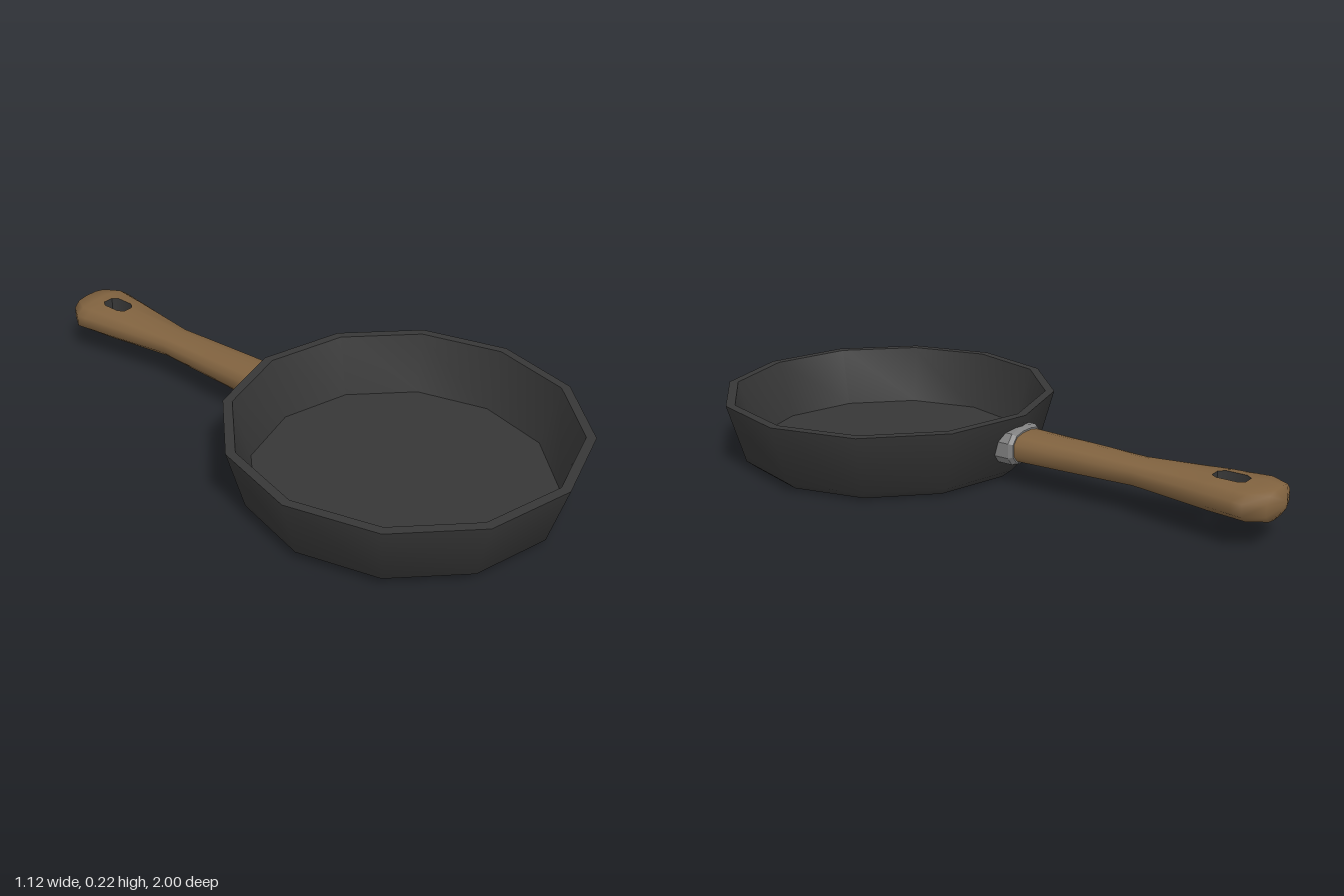
import * as THREE from 'three';
import { toCreasedNormals } from 'three/addons/utils/BufferGeometryUtils.js';

const MID_Y = 0.128; // height of the handle axis
const PAN_Z = 0.437; // centre of the pan body

const material = (name, color) => {
  const m = new THREE.MeshStandardMaterial({ color });
  m.name = name;
  return m;
};

// Rounded 12-point section of half width w and half height h; a is the half width of its flat crown.
function section(w, h, z, a = 0.3 * w) {
  const right = [[a, h], [0.75 * w, 0.85 * h], [w, 0.4 * h], [w, -0.4 * h], [0.75 * w, -0.85 * h], [a, -h]];
  const left = right.map(([x, y]) => [-x, y]).reverse();
  return [...right, ...left].map(([x, y]) =>
    new THREE.Vector3(x, MID_Y + y, typeof z === 'function' ? z(x, y) : z));
}

const quad = (a, b, c, d) => [a, b, d, b, c, d];

function surface(points, crease) {
  return toCreasedNormals(new THREE.BufferGeometry().setFromPoints(points), crease);
}

// Skins the sections front to back; between stations h0 and h1 the crown is left open.
function loft(rings, crease, h0 = -1, h1 = -1) {
  const pts = [];
  const n = rings[0].length;
  for (let i = 0; i < rings.length - 1; i++) {
    const r = rings[i], s = rings[i + 1];
    const open = i >= h0 && i < h1;
    for (let k = 0; k < n; k++) {
      const m = (k + 1) % n;
      if (!open || (k !== 5 && k !== 11)) pts.push(...quad(r[k], r[m], s[m], s[k]));
    }
  }
  const first = rings[0], last = rings[rings.length - 1];
  for (let k = 1; k < n - 1; k++) { // end caps
    pts.push(first[0], first[k + 1], first[k], last[0], last[k], last[k + 1]);
  }
  return surface(pts, crease);
}

// Walls joining the upper and lower openings of the hole
function holeWalls(rings) {
  const pts = [];
  for (let i = 0; i < rings.length - 1; i++) {
    const r = rings[i], s = rings[i + 1];
    pts.push(...quad(r[5], r[0], s[0], s[5]), ...quad(r[11], r[6], s[6], s[11]));
  }
  const r = rings[0], s = rings[rings.length - 1];
  pts.push(...quad(r[0], r[5], r[6], r[11]), ...quad(s[11], s[6], s[5], s[0]));
  return surface(pts, 0.9);
}

export function createModel() {
  const iron = material('castIron', 0x373737);
  const steel = material('steel', 0x808080);
  const wood = material('wood', 0x80623f);

  const group = new THREE.Group();
  group.name = 'fryingPan';
  const add = (name, geometry, mat) => {
    const mesh = new THREE.Mesh(geometry, mat);
    mesh.name = name;
    group.add(mesh);
    return mesh;
  };

  // Twelve-sided pan body: bevel, wall, rim, inner wall and floor
  const profile = [[0.47, 0], [0.505, 0.028], [0.56, 0.225], [0.53, 0.225], [0.475, 0.031], [0, 0.031]]
    .map(([x, y]) => new THREE.Vector2(x, y));
  const body = toCreasedNormals(new THREE.LatheGeometry(profile, 12), 0.8);
  add('panBody', body, iron).position.z = PAN_Z;

  // Bare metal underside
  const underside = add('underside', new THREE.CircleGeometry(0.47, 12, Math.PI / 2), steel);
  underside.rotation.x = Math.PI / 2;
  underside.position.z = PAN_Z;

  // Metal collar, its inner end following the slanted, angled wall
  const wallZ = (x, y) => -0.08 - 0.27 * y + 0.27 * Math.abs(x);
  add('collar', loft([
    section(0.087, 0.06, wallZ),
    section(0.087, 0.06, -0.117),
    section(0.078, 0.052, -0.13),
  ], 0.3), steel);

  // Wooden handle with a waist, a flared end and a hanging hole
  const rings = [
    section(0.074, 0.047, -0.12),
    section(0.068, 0.043, -0.33),
    section(0.061, 0.038, -0.54),
    section(0.097, 0.047, -0.78, 0.018),
    section(0.1, 0.048, -0.8, 0.033),
    section(0.109, 0.048, -0.865, 0.033),
    section(0.113, 0.048, -0.885, 0.018),
    section(0.118, 0.048, -0.92),
    section(0.08, 0.045, -0.977),
    section(0.008, 0.012, -1.0),
  ];
  add('handle', loft(rings, 1.2, 3, 6), wood);
  add('hangingHole', holeWalls(rings.slice(3, 7)), iron);

  return group;
}
